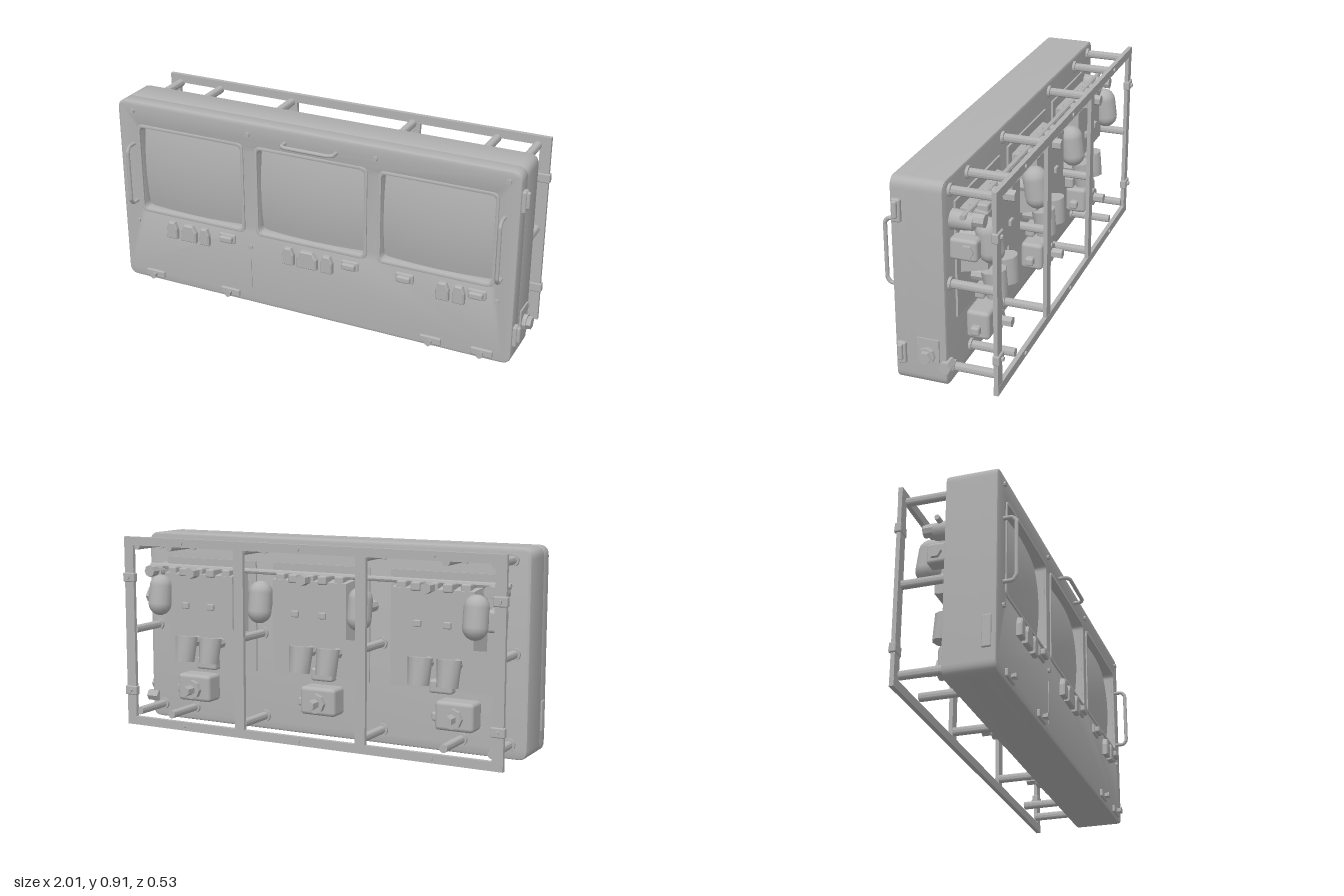
import * as THREE from 'three';
import { toCreasedNormals } from 'three/addons/utils/BufferGeometryUtils.js';
import { RoundedBoxGeometry } from 'three/addons/geometries/RoundedBoxGeometry.js';

const grey = new THREE.MeshStandardMaterial({ color: 0xb2b2b2 });
grey.name = 'neutral grey';

export function createModel() {
  const root = new THREE.Group();
  root.name = 'displayConsole';

  const add = (name, geo, x = 0, y = 0, z = 0, parent = root) => {
    const m = new THREE.Mesh(geo, grey);
    m.name = name;
    m.position.set(x, y, z);
    parent.add(m);
    return m;
  };
  const box = (name, x0, x1, y0, y1, z0, z1) =>
    add(name, new THREE.BoxGeometry(x1 - x0, y1 - y0, z1 - z0), (x0 + x1) / 2, (y0 + y1) / 2, (z0 + z1) / 2);
  const softBox = (name, x0, x1, y0, y1, z0, z1, r) =>
    add(name, new RoundedBoxGeometry(x1 - x0, y1 - y0, z1 - z0, 2, r), (x0 + x1) / 2, (y0 + y1) / 2, (z0 + z1) / 2);
  // cylinder along an axis
  const rod = (name, axis, r, len, x, y, z, sides = 12, r2 = r) => {
    const g = toCreasedNormals(new THREE.CylinderGeometry(r2, r, len, sides), 0.7);
    const m = add(name, g, x, y, z);
    if (axis === 'x') m.rotation.z = -Math.PI / 2;
    if (axis === 'z') m.rotation.x = -Math.PI / 2;
    return m;
  };
  const roundRect = (p, x0, x1, y0, y1, r) => {
    p.moveTo(x0 + r, y0);
    p.lineTo(x1 - r, y0); p.quadraticCurveTo(x1, y0, x1, y0 + r);
    p.lineTo(x1, y1 - r); p.quadraticCurveTo(x1, y1, x1 - r, y1);
    p.lineTo(x0 + r, y1); p.quadraticCurveTo(x0, y1, x0, y1 - r);
    p.lineTo(x0, y0 + r); p.quadraticCurveTo(x0, y0, x0 + r, y0);
    return p;
  };
  const slab = (name, shape, z0, z1, b) => {
    const g = new THREE.ExtrudeGeometry(shape, {
      depth: z1 - z0 - 2 * b, bevelThickness: b, bevelSize: b, bevelOffset: -b, bevelSegments: 2, curveSegments: 6 });
    return add(name, toCreasedNormals(g, 0.6), 0, 0, z0 + b);
  };

  // Casing: rear shell and front bezel with three openings
  const windows = [[-0.885, -0.355], [-0.27, 0.255], [0.335, 0.85]];
  slab('rearShell', roundRect(new THREE.Shape(), -1, 0.955, 0.004, 0.915, 0.045), -0.025, 0.14, 0.01);
  const front = roundRect(new THREE.Shape(), -1, 0.955, 0.004, 0.915, 0.045);
  windows.forEach(([a, b]) => front.holes.push(roundRect(new THREE.Path(), a, b, 0.38, 0.795, 0.025)));
  slab('frontBezel', front, 0.12, 0.2, 0.01);

  // Bulging screens with thin surrounds
  windows.forEach(([a, b]) => {
    const w = b - a, h = 0.415;
    const g = new THREE.PlaneGeometry(w, h, 16, 12);
    const p = g.attributes.position;
    for (let i = 0; i < p.count; i++) {
      const u = 2 * p.getX(i) / w, v = 2 * p.getY(i) / h;
      p.setZ(i, 0.04 * (1 - 0.5 * u * u - 0.5 * v * v));
    }
    g.computeVertexNormals();
    add('screen', g, (a + b) / 2, 0.5875, 0.15);
    const rim = roundRect(new THREE.Shape(), a - 0.014, b + 0.014, 0.366, 0.809, 0.03);
    rim.holes.push(roundRect(new THREE.Path(), a, b, 0.38, 0.795, 0.025));
    slab('screenSurround', rim, 0.196, 0.206, 0.002);
  });

  // Grab handles
  const handle = (name, len, depth, x, y, vertical) => {
    const l = len / 2, pts = [[-l, 0], [-l, depth * 0.75], [-l + 0.02, depth], [l - 0.02, depth], [l, depth * 0.75], [l, 0]];
    const path = new THREE.CurvePath();
    for (let i = 0; i < 5; i++) path.add(new THREE.LineCurve3(
      new THREE.Vector3(pts[i][0], 0, pts[i][1]), new THREE.Vector3(pts[i + 1][0], 0, pts[i + 1][1])));
    const m = add(name, new THREE.TubeGeometry(path, 40, 0.009, 8), x, y, 0.197);
    if (vertical) m.rotation.z = Math.PI / 2;
  };
  handle('topHandle', 0.25, 0.05, -0.005, 0.85, false);
  handle('rightHandle', 0.29, 0.058, -0.925, 0.56, true);
  handle('leftHandle', 0.29, 0.058, 0.89, 0.56, true);

  // Control keys beneath the screens
  const key = (x, w) => {
    const s = new THREE.Shape();
    s.moveTo(-w / 2, -0.042); s.lineTo(w / 2, -0.042); s.lineTo(w / 2, 0.01);
    s.lineTo(w * 0.28, 0.042); s.lineTo(-w * 0.28, 0.042); s.lineTo(-w / 2, 0.01);
    add('controlKey', new THREE.ExtrudeGeometry(s, {
      depth: 0.02, bevelThickness: 0.006, bevelSize: 0.005, bevelOffset: -0.005, bevelSegments: 1 }), x, 0.302, 0.198);
  };
  [[-0.73, 0.055], [-0.64, 0.08], [-0.555, 0.05], [-0.115, 0.055], [-0.02, 0.1], [0.08, 0.055], [0.635, 0.06], [0.71, 0.055]]
    .forEach(([x, w]) => key(x, w));
  [-0.435, 0.19, 0.455, 0.79].forEach(x => {
    softBox('smallButtonBase', x - 0.042, x + 0.042, 0.298, 0.342, 0.195, 0.212, 0.006);
    softBox('smallButton', x - 0.032, x + 0.032, 0.305, 0.335, 0.2, 0.232, 0.008);
  });

  // Bottom latches, screws and the panel seam
  [-0.845, -0.43, 0.585, 0.825].forEach(x => {
    softBox('bottomLatch', x - 0.05, x + 0.05, 0.02, 0.056, 0.19, 0.212, 0.006);
    rod('latchKnob', 'z', 0.017, 0.035, x, 0.038, 0.218, 6, 0.009);
  });
  [[-0.92, 0.87], [-0.315, 0.86], [0.305, 0.86], [0.88, 0.305], [-0.315, 0.3], [-0.925, 0.31], [0.9, 0.87]].forEach(([x, y]) =>
    rod('screw', 'z', 0.011, 0.016, x, y, 0.203, 8));
  box('panelSeam', -0.317, -0.313, 0.05, 0.25, 0.198, 0.203);

  // Side fittings: clasps, connector plate and plugs
  [0.78, 0.14].forEach(y => {
    softBox('sideClasp', 0.945, 0.972, y - 0.05, y + 0.05, 0.15, 0.19, 0.008);
    softBox('claspLever', 0.955, 0.985, y - 0.03, y + 0.045, 0.16, 0.182, 0.007);
  });
  box('connectorPlate', 0.95, 0.962, 0.12, 0.222, 0.005, 0.1);
  rod('plugCollar', 'x', 0.036, 0.025, 0.967, 0.15, 0.055, 8);
  rod('plugTip', 'x', 0.028, 0.045, 0.977, 0.15, 0.055, 6);
  rod('sidePlug', 'x', 0.028, 0.06, 0.945, 0.105, -0.022, 6);
  softBox('rightSideClasp', -1.006, -0.99, 0.1, 0.24, 0.14, 0.18, 0.006);

  // Rear guard frame
  const zf0 = -0.245, zf1 = -0.225;
  box('frameTopRail', -0.975, 0.945, 0.868, 0.908, zf0, zf1);
  box('frameBottomRail', -0.975, 0.945, 0.004, 0.044, zf0, zf1);
  [-0.95, -0.31, 0.31, 0.92].forEach(x => box('frameUpright', x - 0.025, x + 0.025, 0.004, 0.908, zf0 + 0.001, zf1 - 0.001));
  [[-0.95, 0.715], [-0.95, 0.17], [0.92, 0.715], [0.92, 0.17]].forEach(([x, y]) => {
    softBox('frameClip', x - 0.032, x + 0.032, y - 0.022, y + 0.022, -0.252, -0.222, 0.006);
    rod('clipBolt', 'z', 0.01, 0.016, x, y, -0.254, 6);
  });
  [-0.65, 0, 0.62].forEach(x => [0.888, 0.024].forEach(y => rod('frameBolt', 'z', 0.01, 0.012, x, y, -0.246, 8)));

  // Stand-off posts
  const post = (x, y) => {
    rod('standoff', 'z', 0.019, 0.21, x, y, -0.125, 12);
    rod('standoffFoot', 'z', 0.028, 0.014, x, y, -0.03, 12);
  };
  [-0.92, -0.7, -0.315, 0.3, 0.7, 0.885].forEach(x => { post(x, 0.865); post(x, 0.07); });
  [-0.935, -0.31, 0.31, 0.905].forEach(x => post(x, 0.465));

  // Rear equipment, one set per bay
  rod('conduit', 'x', 0.012, 1.84, -0.015, 0.76, -0.085, 8);
  [[-0.605, -0.61, -0.7], [0, -0.02, -0.03], [0.595, 0.61, 0.645]].forEach(([cx, px, bx], n) => {
    // tapered display housing
    const g = new THREE.BoxGeometry(0.42, 0.29, 0.12, 1, 1, 1).toNonIndexed();
    const p = g.attributes.position;
    for (let i = 0; i < p.count; i++) if (p.getZ(i) < 0) p.setXY(i, p.getX(i) * 0.9, p.getY(i) * 0.86);
    g.computeVertexNormals();
    add('displayHousing', g, cx, 0.61, -0.083);
    box('mountPlate', cx - 0.25, cx + 0.25, 0.28, 0.8, -0.034, -0.02);
    [-0.07, 0.07].forEach(d => softBox('housingSocket', cx + d - 0.018, cx + d + 0.018, 0.57, 0.6, -0.155, -0.135, 0.005));
    for (let i = 0; i < 5; i++)
      softBox('terminal', cx - 0.17 + i * 0.075, cx - 0.125 + i * 0.075, 0.725, 0.765, -0.14 - 0.02 * (i % 2), -0.06, 0.008);
    rod('terminalPlug', 'z', 0.026, 0.05, cx + 0.01, 0.745, -0.175, 6);

    // paired canisters
    [-0.068, 0.068].forEach(d => {
      const c = rod('canister', 'y', 0.047, 0.12, px + d, 0.375, -0.135, 10, 0.055);
      c.rotation.x = 0.15;
      rod('canisterNeck', 'z', 0.026, 0.1, px + d, 0.4, -0.07, 8);
    });
    softBox('junction', px - 0.06, px + 0.05, 0.27, 0.33, -0.075, -0.02, 0.012);

    // power unit
    softBox('powerUnit', bx - 0.09, bx + 0.09, 0.12, 0.25, -0.125, -0.02, 0.018);
    rod('powerCollar', 'z', 0.046, 0.03, bx, 0.18, -0.132, 8);
    rod('powerPlug', 'z', 0.024, 0.055, bx, 0.18, -0.17, 6);
    softBox('powerLead', bx + 0.08, bx + 0.12, 0.15, 0.19, -0.09, -0.05, 0.01);
  });

  // Tilted capsule tanks
  [-0.81, -0.265, 0.245, 0.8].forEach(x => {
    const t = add('tank', new THREE.CapsuleGeometry(0.055, 0.085, 5, 14), x, 0.63, -0.16);
    t.rotation.x = 0.14;
    rod('tankBracket', 'z', 0.028, 0.12, x, 0.63, -0.08, 8);
  });

  // Side plugs near both ends
  [-0.87, 0.86].forEach(x => {
    rod('endPlugBody', 'z', 0.045, 0.1, x, 0.73, -0.07, 10, 0.036);
    rod('endPlugTip', 'z', 0.028, 0.05, x, 0.74, -0.14, 8);
    softBox('endBracket', x - 0.035, x + 0.035, 0.565, 0.66, -0.14, -0.02, 0.015);
    rod('endBolt', 'x', 0.03, 0.1, x, 0.613, -0.1, 6);
  });
  return root;
}
